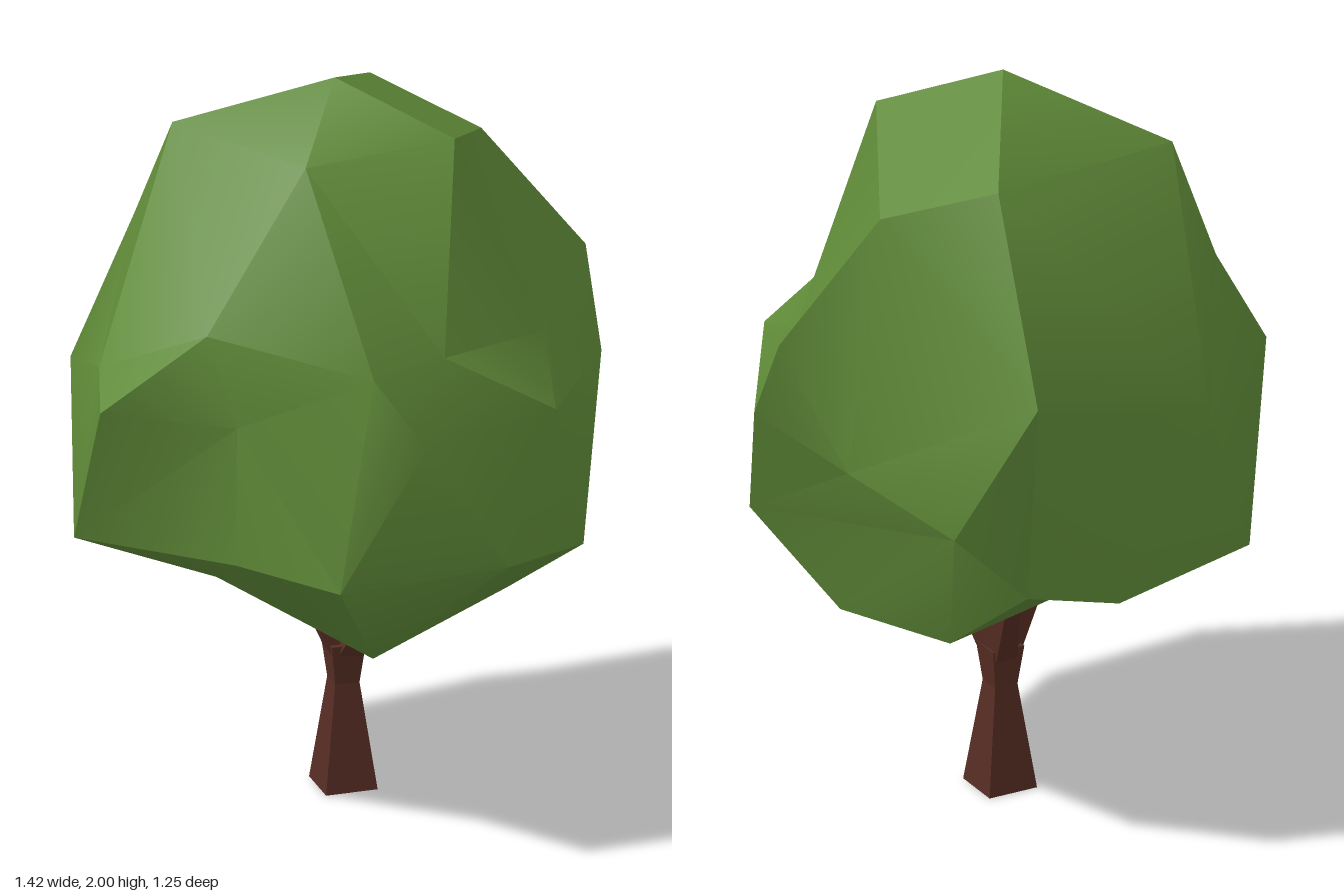
import * as THREE from 'three';
import { toCreasedNormals } from 'three/addons/utils/BufferGeometryUtils.js';

const leafGreen = new THREE.MeshStandardMaterial({ color: 0x5f8a38 });
const barkBrown = new THREE.MeshStandardMaterial({ color: 0x562d23 });

// Corner points of the faceted crown
const corners = {
  A: [0, 2, 0.035], B: [0.255, 1.88, 0.25], C: [0.215, 1.845, -0.325],
  D: [0.45, 1.74, -0.12], E: [-0.355, 1.82, -0.225],
  F: [0.71, 1.41, -0.05], G: [0.71, 1.165, 0.08], H: [0.57, 0.75, 0.355],
  I: [0.145, 1.38, 0.5], J: [0.45, 1.195, 0.492], K: [0.51, 1.3, 0.22],
  L: [-0.18, 0.81, 0.625], M: [0.29, 0.81, 0.585],
  N: [-0.71, 1.24, 0.255], O: [-0.71, 0.81, 0.04],
  P: [0.265, 1.36, -0.625], Q: [0.45, 0.54, 0.09], R: [-0.03, 0.54, 0.44],
  S: [0.36, 0.595, -0.33], T: [0.445, 0.98, -0.505], U: [0.265, 0.8, -0.57],
  V: [-0.435, 0.76, -0.49], W: [-0.27, 0.58, -0.12],
  X: [-0.655, 1.295, 0.08], Y: [-0.42, 1.53, -0.34], Z: [-0.63, 1.2, -0.23],
  a: [-0.37, 1.19, 0.35], b: [0.06, 1.18, 0.61], c: [-0.07, 1.37, 0.57],
  d: [0, 0.73, -0.58], f: [-0.28, 1.2, -0.56],
  g: [-0.15, 1.85, 0.25], h: [-0.37, 0.805, 0.34], m: [0.57, 1.06, -0.165],
  p: [-0.43, 1.43, 0.285],
};

// Each patch is a fan of triangles around its first corner
const patches = [
  'ABDC', 'ACE', 'AEgB',                // top
  'pacgEXNa', 'gcIB', 'BIK', 'IJK',     // upper front and ledge
  'KJGFDB', 'PCD', 'mTPDFGH', 'TmHQSU', 'PTU', // +x side
  'bLMJIc', 'JMHG', 'Lbca', 'aNOhL',    // lower front
  'XEYZON', 'ZVO',                      // -x side
  'fYECPUdVZY',                         // back
  'RQHML', 'hOWRL', 'WOVdUSQR',         // underside
];

function crownGeometry() {
  const positions = [];
  for (const patch of patches) {
    for (let i = 1; i < patch.length - 1; i++) {
      for (const key of [patch[0], patch[i], patch[i + 1]]) positions.push(...corners[key]);
    }
  }
  const geometry = new THREE.BufferGeometry();
  geometry.setAttribute('position', new THREE.Float32BufferAttribute(positions, 3));
  return toCreasedNormals(geometry, 0.66);
}

// Square tapered limb between two points; widths are half the side length
function limb(name, from, to, startHalf, endHalf) {
  const start = new THREE.Vector3(...from);
  const along = new THREE.Vector3(...to).sub(start);
  const length = along.length();
  const shape = new THREE.CylinderGeometry(
    endHalf * Math.SQRT2, startHalf * Math.SQRT2, length, 4, 1, false, Math.PI / 4);
  shape.translate(0, length / 2, 0);
  const mesh = new THREE.Mesh(toCreasedNormals(shape, 0.5), barkBrown);
  mesh.quaternion.setFromUnitVectors(new THREE.Vector3(0, 1, 0), along.normalize());
  mesh.position.copy(start);
  mesh.name = name;
  return mesh;
}

export function createModel() {
  const tree = new THREE.Group();
  tree.name = 'tree';

  const crown = new THREE.Mesh(crownGeometry(), leafGreen);
  crown.name = 'crown';
  tree.add(crown);

  // Trunk narrows to a neck, then widens to the fork
  const x = 0.045, z = -0.03;
  tree.add(limb('trunk', [x, 0, z], [x, 0.29, z], 0.07, 0.033));
  tree.add(limb('trunkFork', [x, 0.29, z], [x, 0.4, z], 0.033, 0.046));

  // Three branches reaching into the crown
  const tips = [[-0.1, 0.64, -0.03], [0.13, 0.64, 0.14], [0.12, 0.7, -0.24]];
  for (const tip of tips) tree.add(limb('branch', [x, 0.36, z], tip, 0.033, 0.016));

  return tree;
}
